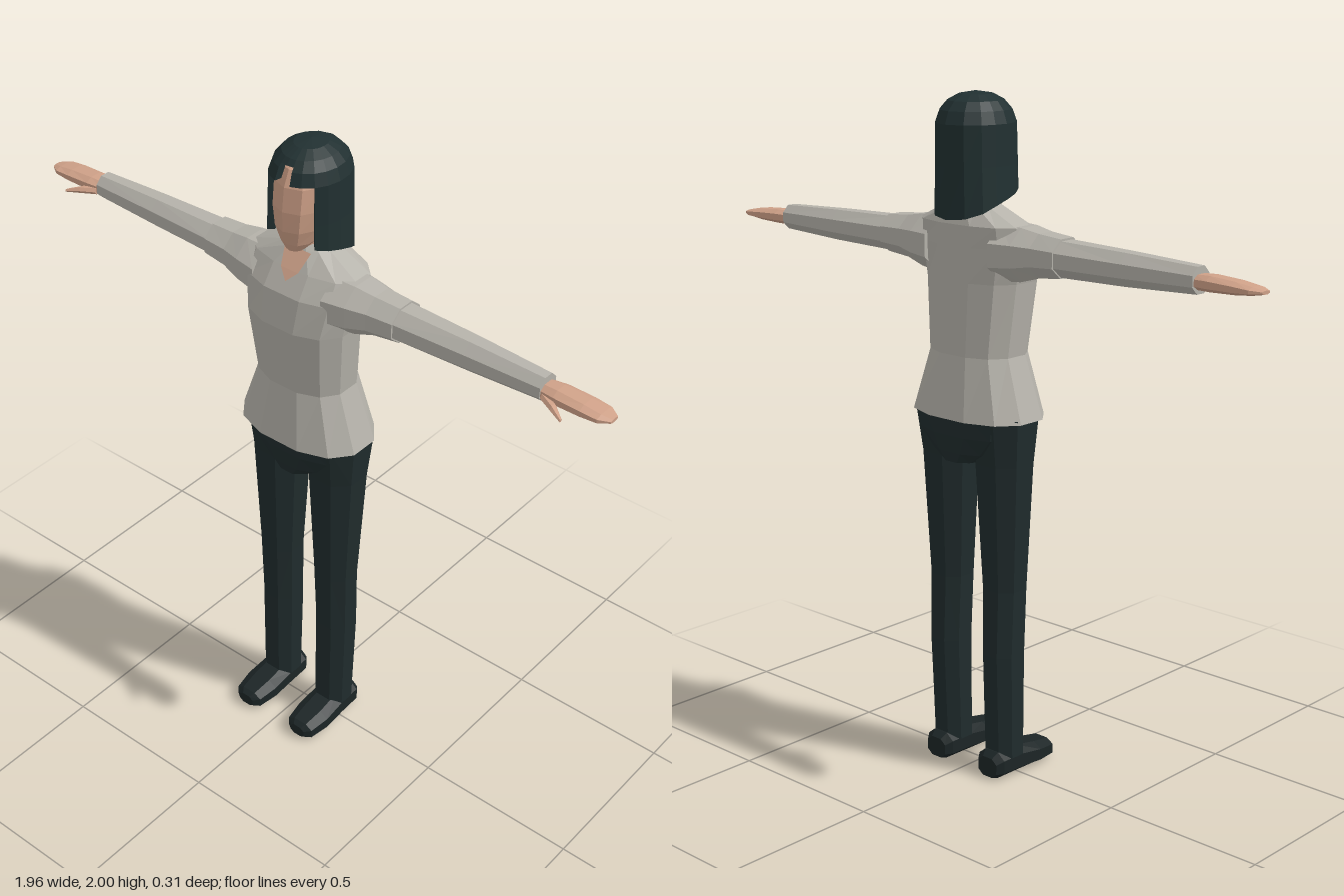
import * as THREE from 'three';

const mat = (name, color, side = THREE.FrontSide) => {
  const m = new THREE.MeshStandardMaterial({ color, side, flatShading: true });
  m.name = name;
  return m;
};

// One cross-section: a rounded polygon with flats facing the axes
function ring(axis, pos, a, b, ra, rb, sides, power) {
  const e = 2 / power, k = Math.cos(Math.PI / sides) ** e;
  const bend = (v) => (Math.sign(v) * Math.abs(v) ** e) / k;
  return Array.from({ length: sides }, (_, i) => {
    const t = ((i + 0.5) / sides) * Math.PI * 2;
    const u = a + ra * bend(Math.cos(t)), v = b + rb * bend(Math.sin(t));
    if (axis === 'y') return [u, pos, v];
    return axis === 'x' ? [pos, u, v] : [u, v, pos];
  });
}

// Skin a row of cross-sections, close both ends and wind the faces outward
function loft(rings) {
  const n = rings[0].length, points = rings.flat(), index = [];
  for (let r = 0; r < rings.length - 1; r++) {
    for (let i = 0; i < n; i++) {
      const a = r * n + i, b = r * n + ((i + 1) % n);
      index.push(a, b, a + n, b, b + n, a + n);
    }
  }
  const last = (rings.length - 1) * n;
  for (let i = 1; i < n - 1; i++) {
    index.push(0, i + 1, i, last, last + i, last + i + 1);
  }
  const P = points.map((p) => new THREE.Vector3(...p));
  let volume = 0;
  for (let i = 0; i < index.length; i += 3) {
    volume += P[index[i]].dot(P[index[i + 1]].clone().cross(P[index[i + 2]]));
  }
  return surface(points, volume < 0 ? index.reverse() : index);
}

function surface(points, index) {
  let g = new THREE.BufferGeometry();
  g.setAttribute('position', new THREE.Float32BufferAttribute(points.flat(), 3));
  g.setIndex(index);
  g = g.toNonIndexed();
  g.computeVertexNormals();
  return g;
}

// Hair cap: columns run from the crown to a hemline that varies with the angle
function hairGeometry() {
  const half = [[0, 1.96], [13.5, 1.96], [13.5, 1.915], [30, 1.915], [48, 1.915],
    [48, 1.73], [66, 1.72], [85, 1.71], [105, 1.695], [125, 1.675], [150, 1.66], [180, 1.655]];
  const mirrored = half.slice(0, -1).reverse().map(([t, y]) => [360 - t, y]);
  const columns = [...half, ...mirrored];
  const profile = [[2, 0], [1.992, 0.42], [1.975, 0.7], [1.95, 0.89], [1.915, 1], [1.8, 1.02], [1.65, 1.07]];
  const radiusAt = (y) => {
    const i = Math.max(1, profile.findIndex((p) => p[0] <= y));
    const [y0, r0] = profile[i - 1], [y1, r1] = profile[i];
    return r0 + ((r1 - r0) * (y0 - y)) / (y0 - y1);
  };
  const points = [], index = [], rows = profile.length + 1;
  for (const [deg, hem] of columns) {
    const t = THREE.MathUtils.degToRad(deg);
    for (let r = 0; r < rows; r++) {
      const y = r < profile.length ? Math.max(profile[r][0], hem) : hem;
      const s = radiusAt(y) * (r === rows - 1 ? 0.82 : 1);   // last row turns inward
      const back = Math.cos(t) < 0 ? Math.min(s, 1) : s;
      points.push([0.107 * s * Math.sin(t), y, -0.03 + 0.122 * back * Math.cos(t)]);
    }
  }
  for (let c = 0; c < columns.length - 1; c++) {
    for (let r = 0; r < rows - 1; r++) {
      const a = c * rows + r, b = a + rows;
      index.push(a, a + 1, b, b, a + 1, b + 1);
    }
  }
  return surface(points, index);
}

export function createModel() {
  const model = new THREE.Group();
  model.name = 'figure';
  const skin = mat('skin', 0xcfa188);
  const neckSkin = mat('neckline skin', 0xd2a58c, THREE.DoubleSide);
  const knit = mat('grey knit', 0xb5b2aa);
  const trousers = mat('dark trousers', 0x202c2d);
  const hairColor = mat('dark hair', 0x213031, THREE.DoubleSide);
  const leather = mat('shoe leather', 0x1c2526);

  const add = (name, geometry, material) => {
    const m = new THREE.Mesh(geometry, material);
    m.name = name;
    model.add(m);
  };
  // Rows: position along the axis, centre (2), half sizes (2)
  const part = (name, material, axis, sides, power, rows, side = 1) => {
    const rings = rows.map((r) => ring(axis, ...r, sides, power));
    rings.flat().forEach((p) => { p[0] *= side; });
    add(name, loft(rings), material);
  };

  // Sweater body
  part('sweater', knit, 'y', 12, 2.4, [
    [1.09, 0, -0.02, 0.205, 0.135],
    [1.27, 0, -0.018, 0.145, 0.108],
    [1.48, 0, -0.003, 0.165, 0.118],
    [1.58, 0, -0.012, 0.185, 0.108],
    [1.64, 0, -0.032, 0.18, 0.088],
    [1.69, 0, -0.04, 0.075, 0.062],
    [1.705, 0, -0.04, 0.05, 0.05],
  ]);

  // Open neckline
  add('neckline', surface(
    [[-0.045, 1.69, 0.025], [0.045, 1.69, 0.025], [0.03, 1.64, 0.061], [-0.03, 1.64, 0.061], [0, 1.612, 0.079]],
    [0, 3, 1, 1, 3, 2, 3, 4, 2]), neckSkin);

  // Hips
  part('hips', trousers, 'y', 12, 2.4, [
    [1.11, 0, -0.028, 0.19, 0.116],
    [1.04, 0, -0.028, 0.175, 0.116],
    [0.99, 0, -0.028, 0.12, 0.112],
    [0.96, 0, -0.028, 0.065, 0.105],
  ]);

  // Neck and head
  part('neck', skin, 'y', 8, 2, [
    [1.64, 0, -0.03, 0.045, 0.05],
    [1.78, 0, -0.03, 0.04, 0.048],
  ]);
  part('head', skin, 'y', 10, 2.2, [
    [1.7, 0, 0.03, 0.025, 0.03],
    [1.725, 0, 0.015, 0.045, 0.055],
    [1.77, 0, -0.005, 0.064, 0.088],
    [1.83, 0, -0.01, 0.074, 0.095],
    [1.9, 0, -0.015, 0.075, 0.092],
    [1.945, 0, -0.02, 0.062, 0.078],
    [1.98, 0, -0.025, 0.03, 0.035],
  ]);
  add('hair', hairGeometry(), hairColor);

  for (const side of [1, -1]) {
    const s = side > 0 ? 'left' : 'right';

    // Arm: shoulder, sleeve, hand and thumb
    part(s + 'Shoulder', knit, 'x', 8, 2, [
      [0.12, 1.565, -0.018, 0.08, 0.095],
      [0.19, 1.567, -0.018, 0.075, 0.082],
      [0.25, 1.571, -0.02, 0.061, 0.068],
      [0.33, 1.572, -0.023, 0.054, 0.062],
    ], side);
    part(s + 'Sleeve', knit, 'x', 8, 2, [
      [0.31, 1.571, -0.023, 0.05, 0.058],
      [0.55, 1.57, -0.025, 0.045, 0.047],
      [0.78, 1.57, -0.025, 0.036, 0.036],
    ], side);
    part(s + 'Hand', skin, 'x', 8, 2.3, [
      [0.77, 1.566, -0.024, 0.02, 0.03],
      [0.82, 1.567, -0.024, 0.021, 0.037],
      [0.9, 1.566, -0.024, 0.017, 0.038],
      [0.95, 1.565, -0.024, 0.011, 0.035],
      [0.98, 1.564, -0.024, 0.005, 0.016],
    ], side);
    part(s + 'Thumb', skin, 'x', 6, 2, [
      [0.785, 1.56, 0, 0.01, 0.014],
      [0.83, 1.557, 0.024, 0.009, 0.012],
      [0.87, 1.55, 0.048, 0.004, 0.005],
    ], side);

    // Trouser leg
    part(s + 'Leg', trousers, 'y', 8, 2.3, [
      [1.1, 0.108, -0.027, 0.09, 0.095],
      [0.96, 0.105, -0.025, 0.08, 0.077],
      [0.58, 0.105, -0.022, 0.061, 0.058],
      [0.38, 0.106, -0.027, 0.057, 0.058],
      [0.06, 0.104, -0.02, 0.054, 0.051],
    ], side);

    // Shoe, heel to toe
    part(s + 'Shoe', leather, 'z', 8, 2.5, [
      [-0.095, 0.105, 0.034, 0.036, 0.03],
      [-0.075, 0.105, 0.04, 0.05, 0.04],
      [0, 0.105, 0.041, 0.053, 0.041],
      [0.08, 0.106, 0.034, 0.056, 0.034],
      [0.145, 0.106, 0.029, 0.046, 0.028],
      [0.16, 0.106, 0.028, 0.026, 0.018],
    ], side);
  }
  return model;
}
